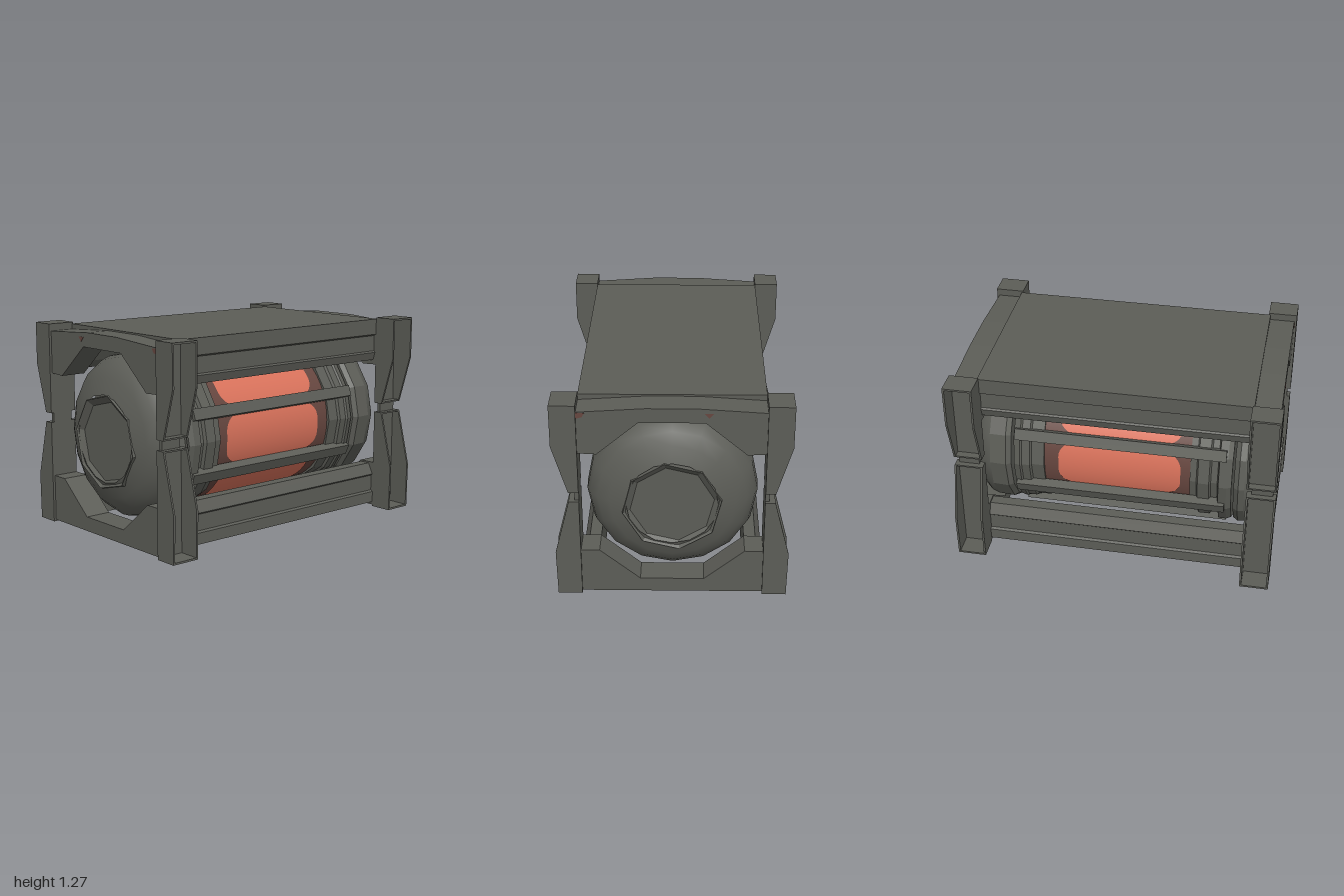
import * as THREE from 'three';

const grey = new THREE.MeshStandardMaterial({ color: 0x5c5d57 });
const orange = new THREE.MeshStandardMaterial({ color: 0xd9725b });
const brown = new THREE.MeshStandardMaterial({ color: 0x66463f });
grey.name = 'dark metal grey';
orange.name = 'glowing orange';
brown.name = 'scorched brown';

const AXIS_Y = 0.62;   // height of the tank's axis
const TILT = -2 * Math.PI / 180;

function add(parent, name, geometry, material = grey) {
  const mesh = new THREE.Mesh(geometry, material);
  mesh.name = name;
  parent.add(mesh);
  return mesh;
}

// Extrudes a [z, y] outline along x, between x0 and x1
function prism(points, x0, x1) {
  const shape = new THREE.Shape(points.map(([z, y]) => new THREE.Vector2(-z, y)));
  const g = new THREE.ExtrudeGeometry(shape, { depth: x1 - x0, bevelEnabled: false });
  return g.rotateY(Math.PI / 2).translate(x0, 0, 0);
}

// Turns [radius, x] points about the x axis; side -1 mirrors to the other end
function turned(points, sides, side = 1, flat = true) {
  let g = new THREE.LatheGeometry(points.map(([r, x]) => new THREE.Vector2(r, x)), sides);
  if (flat) {
    g = g.toNonIndexed();
    g.computeVertexNormals();
  }
  return g.rotateZ(-side * Math.PI / 2);
}

// Curved panel with rounded corners, lying on the core
function panelPatch(angle, radius, halfAngle, halfLength, corner) {
  const pos = [], normal = [], index = [], n = 20;
  const halfArc = halfAngle * radius;
  for (let i = 0; i <= n; i++) {
    const s = -Math.cos(Math.PI * i / n) * halfArc;
    const into = Math.max(0, Math.abs(s) - (halfArc - corner));
    const h = halfLength - corner + Math.sqrt(Math.max(0, corner * corner - into * into));
    const a = angle + s / radius;
    for (const x of [-h, h]) {
      pos.push(x, Math.sin(a) * radius, Math.cos(a) * radius);
      normal.push(0, Math.sin(a), Math.cos(a));
    }
    if (i < n) index.push(2 * i, 2 * i + 1, 2 * i + 3, 2 * i, 2 * i + 3, 2 * i + 2);
  }
  const g = new THREE.BufferGeometry();
  g.setAttribute('position', new THREE.Float32BufferAttribute(pos, 3));
  g.setAttribute('normal', new THREE.Float32BufferAttribute(normal, 3));
  g.setIndex(index);
  return g;
}

function buildFrame() {
  const frame = new THREE.Group();
  frame.name = 'frame';
  const flip = (pts, s) => pts.map(([z, y]) => [z * s, y]);
  const slab = (z0, z1, y0, y1) => [[z0, y0], [z1, y0], [z1, y1], [z0, y1]];

  const lowerPost = [[0.54, 0], [0.685, 0], [0.69, 0.29], [0.6, 0.645], [0.54, 0.645]];
  const upperPost = [[0.54, 1.27], [0.69, 1.27], [0.69, 1.01], [0.6, 0.705], [0.54, 0.705]];
  const lowerRail = [[0.54, 0.03], [0.54, 0.1], [0.525, 0.11], [0.525, 0.21],
    [0.535, 0.22], [0.5, 0.29], [0.43, 0.29], [0.43, 0.03]];
  const upperRail = [[0.54, 1.18], [0.54, 1.16], [0.525, 1.15], [0.525, 1.05],
    [0.535, 1.04], [0.52, 0.99], [0.43, 0.99], [0.37, 1.04], [0.3, 1.18]];
  const topArch = [[-0.54, 1.225], [-0.15, 1.25], [0.15, 1.25], [0.54, 1.225], [0.54, 0.96],
    [0.43, 0.955], [0.19, 1.16], [-0.19, 1.16], [-0.43, 0.955], [-0.54, 0.96]];
  const bottomArch = [[-0.54, 0.01], [0.54, 0.01], [0.54, 0.3], [0.43, 0.3],
    [0.19, 0.1], [-0.19, 0.1], [-0.43, 0.3], [-0.54, 0.3]];
  const scorches = [[[0.54, 1.222], [0.49, 1.22], [0.505, 1.195], [0.54, 1.185]],
    [[-0.185, 1.22], [-0.235, 1.22], [-0.21, 1.19]]];

  // Plates of a corner post: a channel left open on its outer face
  const postPlates = [
    [slab(0.54, 0.552, 0, 0.645), 0.82, 1], [slab(0.54, 0.552, 0.705, 1.27), 0.82, 1],
    [slab(0.54, 0.685, 0, 0.012), 0.82, 1], [slab(0.54, 0.69, 1.258, 1.27), 0.82, 1],
    [slab(0.54, 0.6, 0.635, 0.645), 0.82, 1], [slab(0.54, 0.6, 0.705, 0.715), 0.82, 1],
    [lowerPost, 0.82, 0.832], [lowerPost, 0.988, 1],
    [upperPost, 0.82, 0.832], [upperPost, 0.988, 1],
    [slab(0.54, 0.565, 0.64, 0.71), 0.85, 0.98],
  ];

  for (const side of [-1, 1]) {
    // Rails along the front and back
    add(frame, 'lowerRail', prism(flip(lowerRail, side), -0.83, 0.83));
    add(frame, 'upperRail', prism(flip(upperRail, side), -0.83, 0.83));
    // Pinched corner posts
    for (const end of [-1, 1]) {
      const post = new THREE.Group();
      post.name = 'cornerPost';
      frame.add(post);
      for (const [outline, a, b] of postPlates) {
        const [x0, x1] = end > 0 ? [a, b] : [-b, -a];
        add(post, 'postPlate', prism(flip(outline, side), x0, x1));
      }
    }
  }
  // Braced end arches with scorched spots
  for (const end of [-1, 1]) {
    const x0 = end > 0 ? 0.82 : -0.985;
    add(frame, 'topArch', prism(topArch, x0, x0 + 0.165));
    add(frame, 'bottomArch', prism(bottomArch, x0, x0 + 0.165));
    for (const outline of scorches) {
      add(frame, 'scorchMark', prism(outline, end * 0.985 - 0.003, end * 0.985 + 0.003), brown);
    }
  }
  // Roof
  const roof = add(frame, 'roofPanel', new THREE.BoxGeometry(1.66, 0.1, 1.08));
  roof.position.y = 1.21;
  return frame;
}

function buildTank() {
  const tank = new THREE.Group();
  tank.name = 'tank';
  tank.position.y = AXIS_Y;

  // Core with rounded panels and bars between them
  add(tank, 'core', turned([[0.455, -0.48], [0.455, 0.48]], 48, 1, false), brown);
  for (let i = 0; i < 8; i++) {
    const a = TILT + i * Math.PI / 4;
    const panel = add(tank, 'glowPanel', panelPatch(a, 0.46, 0.335, 0.385, 0.105), orange);
    panel.position.x = -0.015;
    const b = a + Math.PI / 8;
    const bar = add(tank, 'bar', new THREE.BoxGeometry(1.32, 0.07, 0.06));
    bar.position.set(-0.02, Math.sin(b) * 0.49, Math.cos(b) * 0.49);
    bar.rotation.x = -b;
  }

  // Stepped collars and hub
  add(tank, 'rightCollar', turned([[0, 0.46], [0.475, 0.46], [0.475, 0.54], [0.49, 0.55],
    [0.49, 0.6], [0.5, 0.61], [0.49, 0.65], [0, 0.65]], 16));
  add(tank, 'leftCollar', turned([[0, 0.46], [0.47, 0.46], [0.47, 0.5], [0.485, 0.51],
    [0.485, 0.58], [0.465, 0.59], [0.465, 0.63], [0.505, 0.64], [0.505, 0.69], [0.49, 0.72],
    [0, 0.72]], 16, -1));
  add(tank, 'hub', turned([[0.19, -0.8], [0.19, 0.8]], 16));

  // Domed ends with a recessed eight-sided cap
  for (const side of [-1, 1]) {
    const start = side > 0 ? 0.668 : 0.733;
    add(tank, 'domeBack', turned([[0, start], [0.49, start], [0.51, start + 0.03],
      [0.505, 0.8]], 16, side));
    add(tank, 'dome', turned([[0.505, 0.8], [0.487, 0.85], [0.44, 0.9], [0.37, 0.942],
      [0.27, 0.975]], 16, side, false));
    const cap = add(tank, 'endCap', turned([[0.3, 0.95], [0.292, 0.982],
      [0.25, 0.95], [0, 0.95]], 8, side));
    cap.position.y = -0.02;
    cap.rotation.x = 0.15;
  }
  return tank;
}

export function createModel() {
  const model = new THREE.Group();
  model.name = 'framedTank';
  model.add(buildFrame(), buildTank());
  return model;
}
